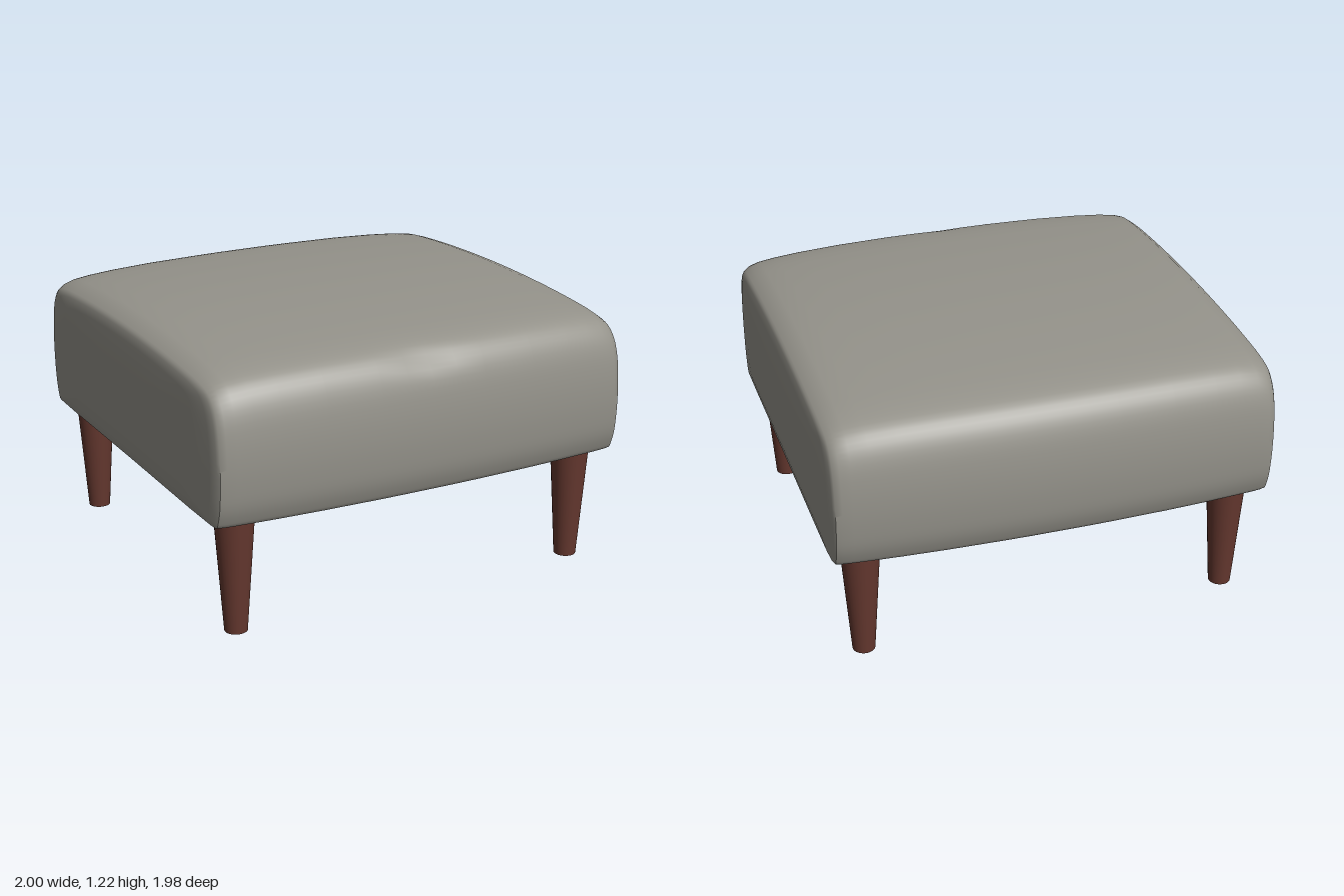
import * as THREE from 'three';
import { toCreasedNormals } from 'three/addons/utils/BufferGeometryUtils.js';

const BASE = 0.53, TOP = 1.215, MID = 0.85;

// Upholstered block: a cushion cross-section (z, y) lofted along x, closed by softly domed end panels
function cushionGeometry() {
  const half = [
    [0.9, 0.53], [0.94, 0.535], [0.956, 0.565], [0.975, 0.63], [0.985, 0.72], [0.988, 0.82], [0.982, 0.93],
    [0.965, 1.03], [0.935, 1.1], [0.885, 1.15], [0.8, 1.175], [0.6, 1.195], [0.3, 1.21],
  ];
  const points = [[0, BASE], ...half, [0, TOP], ...half.map(([z, y]) => [-z, y]).reverse()];
  const curve = new THREE.CatmullRomCurve3(points.map(([z, y]) => new THREE.Vector3(0, y, z)), true);
  const n = points.length * 3;
  const profile = Array.from({ length: n }, (_, j) => curve.getPoint(j / n));

  // x, half depth, top height, shrink toward the panel centre
  const side = [
    [0.12, 0.988, 1.215, 1], [0.25, 0.986, 1.214, 1], [0.5, 0.978, 1.211, 1], [0.7, 0.967, 1.204, 1],
    [0.82, 0.958, 1.196, 1], [0.9, 0.951, 1.186, 1], [0.945, 0.945, 1.172, 1], [0.972, 0.936, 1.152, 1],
    [0.981, 0.936, 1.152, 0.98], [0.989, 0.936, 1.152, 0.93], [0.996, 0.936, 1.152, 0.8],
    [0.999, 0.936, 1.152, 0.5], [1, 0.936, 1.152, 0],
  ];
  const stations = [...side.map(([x, ...r]) => [-x, ...r]).reverse(), [0, 0.988, TOP, 1], ...side];

  const position = [], index = [];
  for (const [x, depth, top, shrink] of stations) {
    for (const p of profile) {
      let z = p.z * depth / 0.988;
      let y = BASE + (p.y - BASE) * (top - BASE) / (TOP - BASE);
      // slight pucker in the middle of the front top edge
      const dent = 0.012 * Math.exp(-((x / 0.12) ** 2) - ((z - 0.92) / 0.06) ** 2 - ((y - 1.12) / 0.06) ** 2);
      z = (z - dent) * shrink;
      y = MID + (y - dent - MID) * shrink;
      position.push(x, y, z);
    }
  }
  const last = stations.length - 2;
  for (let i = 0; i <= last; i++) {
    for (let j = 0; j < n; j++) {
      const k = (j + 1) % n;
      const a = i * n + j, b = a + n, c = i * n + k, d = c + n;
      if (i < last) index.push(a, b, c);
      if (i > 0) index.push(b, d, c);
      // the end fans collapse to a point, so each keeps a single triangle
      if (i === last) index.push(a, b, c);
      if (i === 0) index.splice(index.length - 3, 3, b, d, a);
    }
  }
  // the last ring repeats one point; drop its zero-area halves
  const clean = [];
  const v = (q) => new THREE.Vector3().fromArray(position, q * 3);
  for (let t = 0; t < index.length; t += 3) {
    const [a, b, c] = index.slice(t, t + 3);
    const area = v(b).sub(v(a)).cross(v(c).sub(v(a))).length();
    if (area > 1e-9) clean.push(a, b, c);
  }
  const geometry = new THREE.BufferGeometry();
  geometry.setAttribute('position', new THREE.Float32BufferAttribute(position, 3));
  geometry.setIndex(clean);
  return toCreasedNormals(geometry, 0.8);
}

export function createModel() {
  const fabric = new THREE.MeshStandardMaterial({ color: 0x95938b });
  fabric.name = 'grey fabric';
  const wood = new THREE.MeshStandardMaterial({ color: 0x65382f });
  wood.name = 'dark red wood';

  const model = new THREE.Group();
  model.name = 'footstool';

  const cushion = new THREE.Mesh(cushionGeometry(), fabric);
  cushion.name = 'cushion';
  model.add(cushion);

  // Four tapered round legs
  const legGeometry = new THREE.CylinderGeometry(0.088, 0.05, 0.54, 32);
  for (const [x, sideName] of [[0.84, 'Left'], [-0.84, 'Right']]) {
    for (const [z, endName] of [[0.775, 'front'], [-0.775, 'back']]) {
      const leg = new THREE.Mesh(legGeometry, wood);
      leg.name = `${endName}${sideName}Leg`;
      leg.position.set(x, 0.27, z);
      model.add(leg);
    }
  }
  return model;
}
